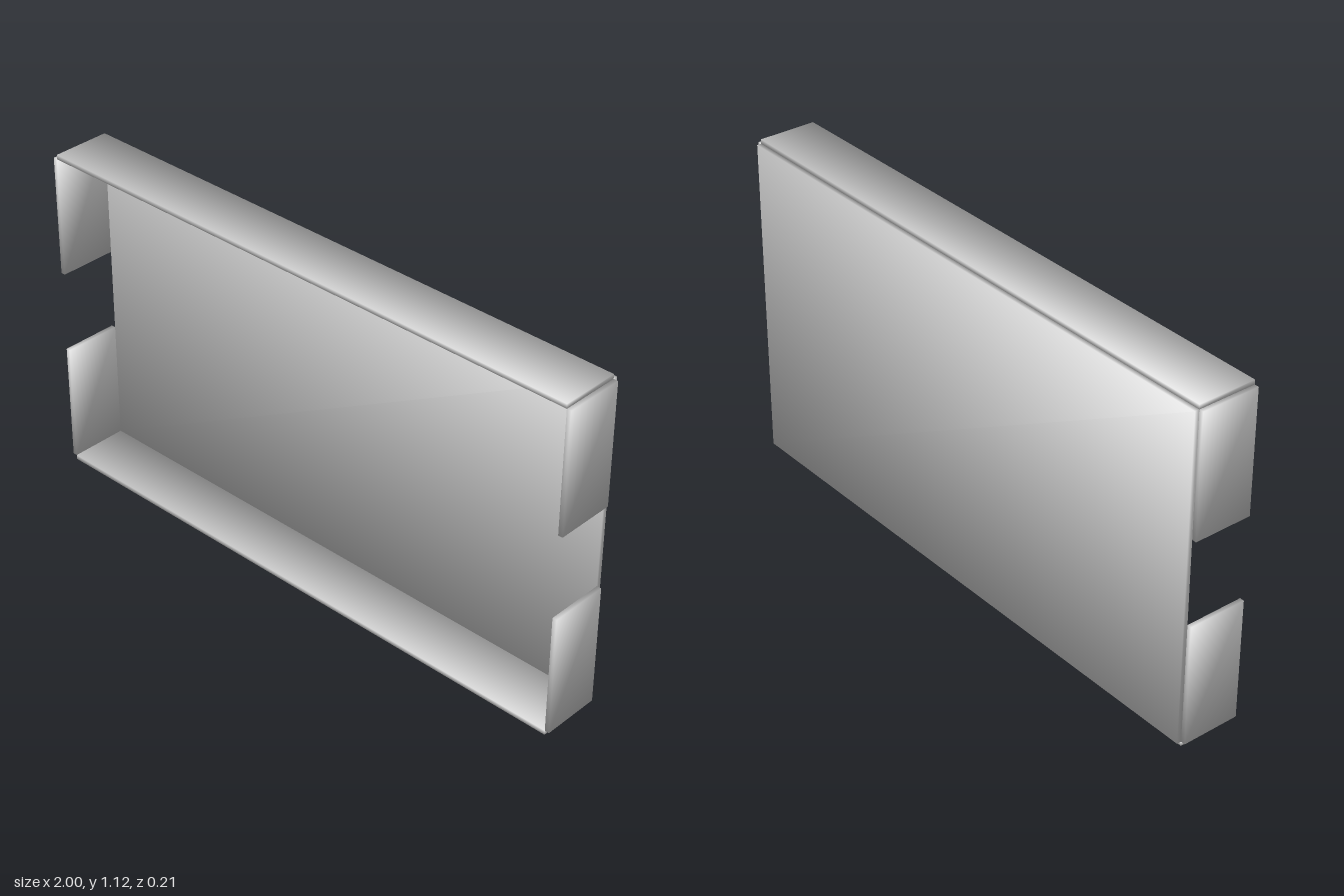
import * as THREE from 'three';

const T = 0.015;          // sheet thickness
const W = 2, H = 1.12, D = 0.21;

// Box whose corners share one smooth normal, pointing diagonally outwards
function smoothBox(w, h, d) {
  const geometry = new THREE.BoxGeometry(w, h, d);
  const { position, normal } = geometry.attributes;
  const n = new THREE.Vector3();
  for (let i = 0; i < position.count; i++) {
    n.set(Math.sign(position.getX(i)), Math.sign(position.getY(i)), Math.sign(position.getZ(i))).normalize();
    normal.setXYZ(i, n.x, n.y, n.z);
  }
  return geometry;
}

export function createModel() {
  const group = new THREE.Group();
  const material = new THREE.MeshStandardMaterial({ color: 0xcccccc });

  // Plate given by its lower and upper corner
  const plate = (name, [x0, y0, z0], [x1, y1, z1]) => {
    const mesh = new THREE.Mesh(smoothBox(x1 - x0, y1 - y0, z1 - z0), material);
    mesh.position.set((x0 + x1) / 2, (y0 + y1) / 2, (z0 + z1) / 2);
    mesh.name = name;
    group.add(mesh);
  };

  const back = -D / 2, front = D / 2;
  const inner = W / 2 - T;   // half width of the main panel
  const fold = back + T;     // where the flanges start

  // Main sheet
  plate('backPanel', [-inner, T, back], [inner, H - T, fold]);

  // Full-width flanges along the top and bottom edges
  plate('topFlange', [-inner, H - T, fold], [inner, H, front]);
  plate('bottomFlange', [-inner, 0, fold], [inner, T, front]);

  // Short side tabs with a gap between upper and lower
  for (const [side, x0, x1] of [['left', inner, W / 2], ['right', -W / 2, -inner]]) {
    plate(side + 'UpperTab', [x0, 0.7, fold], [x1, H - T, front]);
    plate(side + 'LowerTab', [x0, T, fold], [x1, 0.42, front]);
  }

  return group;
}
